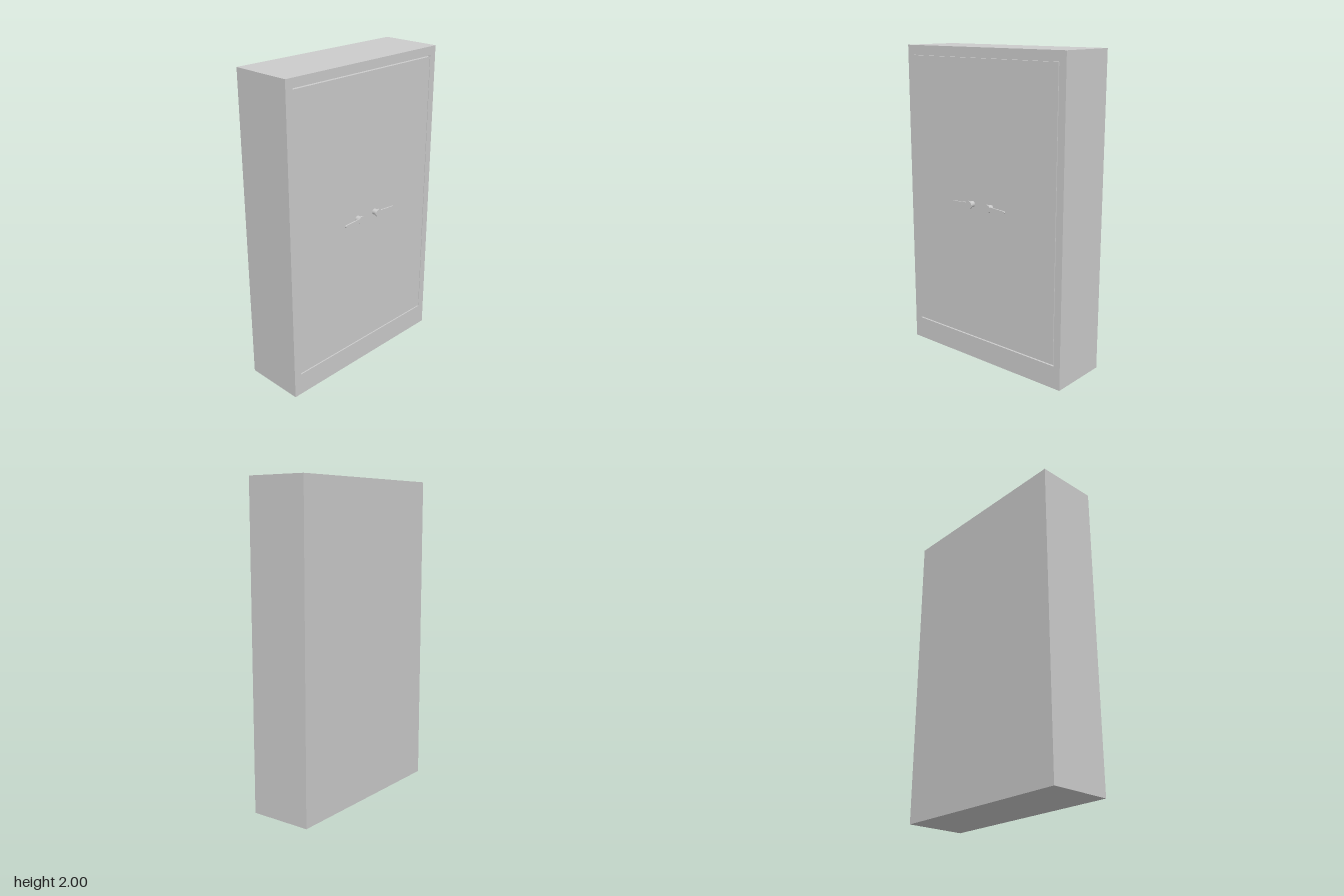
import * as THREE from 'three';

const material = new THREE.MeshStandardMaterial({ color: 0xcccccc });

export function createModel() {
  const model = new THREE.Group();
  model.name = 'cabinet';

  const add = (parent, name, geometry, x = 0, y = 0, z = 0) => {
    const mesh = new THREE.Mesh(geometry, material);
    mesh.name = name;
    mesh.position.set(x, y, z);
    parent.add(mesh);
    return mesh;
  };
  // Extrude an outline drawn in (-z, y) outwards along +x
  const extrudeX = (shape, depth, curveSegments = 12) =>
    new THREE.ExtrudeGeometry(shape, { depth, bevelEnabled: false, curveSegments }).rotateY(Math.PI / 2);
  const rect = (path, x0, y0, x1, y1) =>
    path.moveTo(x0, y0).lineTo(x1, y0).lineTo(x1, y1).lineTo(x0, y1).closePath();

  const back = -0.22, face = 0.18, inset = 0.02;
  const halfW = 0.62, height = 2;
  const open = { x0: -0.57, x1: 0.572, y0: 0.145, y1: 1.945 };

  // Carcass behind the doors
  add(model, 'carcass', new THREE.BoxGeometry(face - inset - back, height, halfW * 2),
    (back + face - inset) / 2, height / 2, 0);

  // Frame around the door opening
  const frame = new THREE.Shape();
  rect(frame, -halfW, 0, halfW, height);
  const hole = new THREE.Path();
  rect(hole, open.x0, open.y0, open.x1, open.y1);
  frame.holes.push(hole);
  add(model, 'doorFrame', extrudeX(frame, inset), face - inset);

  // Flush doors, with narrow gaps at the top, bottom and one side
  const gap = 0.008, sideGap = 0.004, middle = 0.003;
  const spans = [['leftDoor', open.x0, middle], ['rightDoor', middle, open.x1 - sideGap]];
  for (const [name, a, b] of spans) {
    const door = new THREE.Shape();
    rect(door, a, open.y0 + gap, b, open.y1 - gap);
    add(model, name, extrudeX(door, inset), face - inset);
  }

  // Lever outline: round head narrowing to a slim grip
  const lever = (s) => {
    const shape = new THREE.Shape();
    shape.moveTo(0.023, 0.012);
    shape.absarc(0, 0, 0.026, Math.PI * 0.16, Math.PI * 1.84, false);
    shape.bezierCurveTo(0.035, -0.017, 0.045, -0.013, 0.065, -0.012);
    shape.lineTo(0.134, -0.008);
    shape.quadraticCurveTo(0.146, 0, 0.134, 0.008);
    shape.lineTo(0.065, 0.012);
    shape.bezierCurveTo(0.045, 0.013, 0.035, 0.017, 0.023, 0.012);
    return new THREE.Shape(shape.getPoints(16).map((p) => new THREE.Vector2(p.x * s, p.y)));
  };

  // Mirrored pair of handles: post and lever
  for (const s of [-1, 1]) {
    const handle = new THREE.Group();
    handle.name = s < 0 ? 'leftHandle' : 'rightHandle';
    handle.position.set(face, 1.043, -(middle + s * 0.076));
    add(handle, 'post', new THREE.CylinderGeometry(0.019, 0.019, 0.034, 24).rotateZ(-Math.PI / 2), 0.016);
    add(handle, 'lever', extrudeX(lever(s), 0.009), 0.031);
    model.add(handle);
  }

  return model;
}
